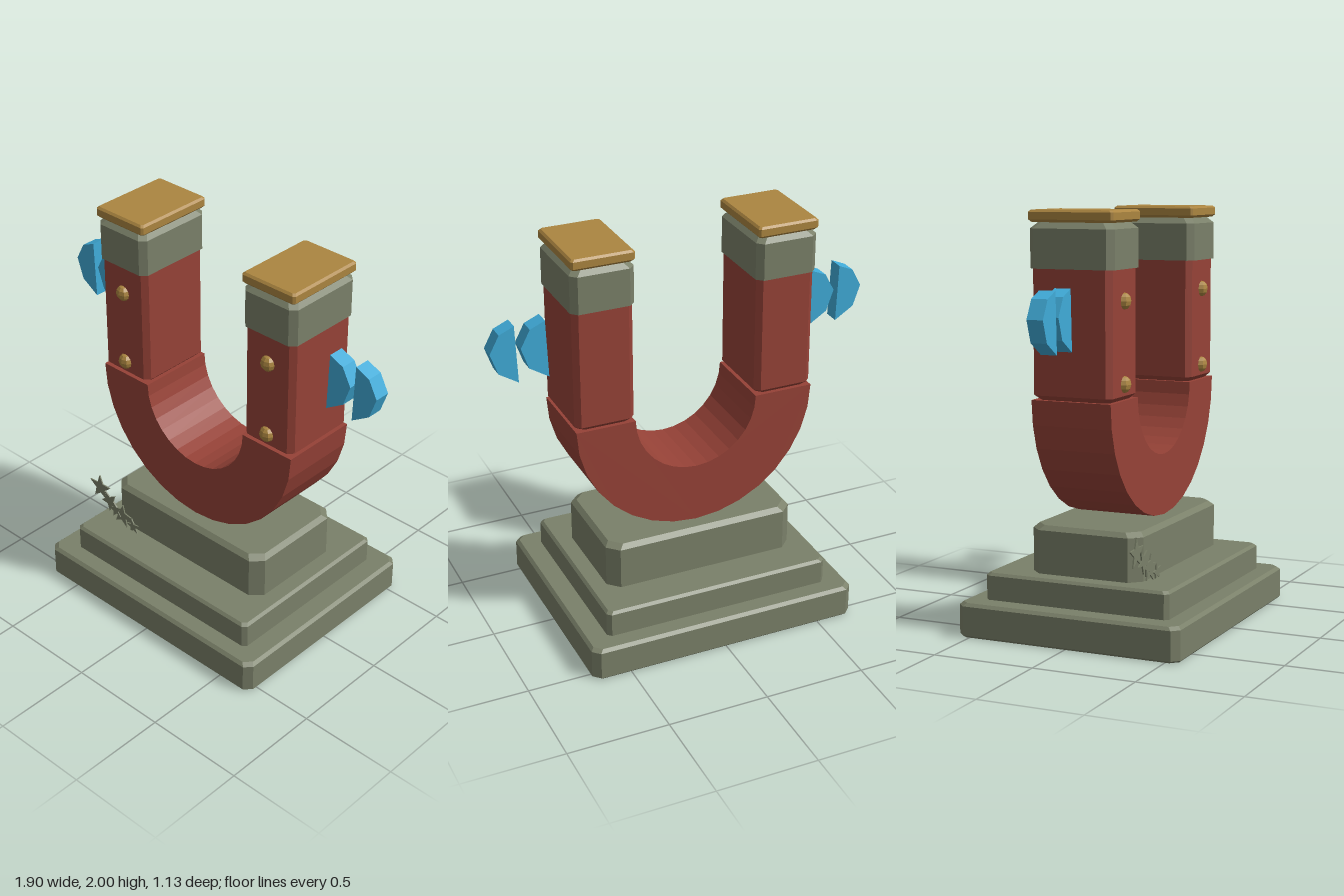
import * as THREE from 'three';
import { ConvexGeometry } from 'three/addons/geometries/ConvexGeometry.js';

const makeMat = (name, color, extra = {}) => {
  const m = new THREE.MeshStandardMaterial({ color, flatShading: true, ...extra });
  m.name = name;
  return m;
};

// Box with chamfered upright corners and bevelled top and bottom rims
function chamferBox(w, d, y0, y1, corner, bevelBottom, bevelTop) {
  const points = [];
  const ring = (y, inset) => {
    const x = w / 2 - inset, z = d / 2 - inset;
    for (const sx of [-1, 1]) for (const sz of [-1, 1]) {
      points.push(new THREE.Vector3(sx * x, y, sz * (z - corner)));
      points.push(new THREE.Vector3(sx * (x - corner), y, sz * z));
    }
  };
  ring(y0, bevelBottom);
  if (bevelBottom) ring(y0 + bevelBottom, 0);
  if (bevelTop) ring(y1 - bevelTop, 0);
  ring(y1, bevelTop);
  return new ConvexGeometry(points);
}

// Flat outline extruded evenly about z = 0
function plate(points, depth) {
  const shape = new THREE.Shape(points.map(([x, y]) => new THREE.Vector2(x, y)));
  const geo = new THREE.ExtrudeGeometry(shape, { depth, bevelEnabled: false });
  return geo.translate(0, 0, -depth / 2);
}

export function createModel() {
  const group = new THREE.Group();
  group.name = 'magnetMonument';
  const stone = makeMat('stone', 0x7a8069);
  const red = makeMat('redPaint', 0x964237);
  const gold = makeMat('gold', 0xab8540);
  const blue = makeMat('blueSpark', 0x40abd8);

  const add = (name, geo, mat, parent = group) => {
    const mesh = new THREE.Mesh(geo, mat);
    mesh.name = name;
    parent.add(mesh);
    return mesh;
  };

  // Stepped pedestal
  add('baseStep', chamferBox(1.38, 1.13, 0, 0.165, 0.035, 0.01, 0.015), stone);
  add('middleStep', chamferBox(1.16, 0.94, 0.16, 0.295, 0.02, 0, 0.013), stone);
  add('topStep', chamferBox(0.98, 0.57, 0.29, 0.525, 0.055, 0, 0.022), stone);

  // U-shaped bend
  const N = 16, outer = 0.608, inner = 0.312, bendY = 1.135;
  const outline = [];
  for (let i = 0; i <= N; i++) {
    const a = Math.PI + (i / N) * Math.PI;
    outline.push([outer * Math.cos(a), bendY + outer * Math.sin(a)]);
  }
  for (let i = N; i >= 0; i--) {
    const a = Math.PI + (i / N) * Math.PI;
    outline.push([inner * Math.cos(a), bendY + inner * Math.sin(a)]);
  }
  add('magnetBend', plate(outline, 0.4), red);

  // Spark plate outline, pointing outwards on +x
  const spark = [[0.672, 1.37], [0.767, 1.43], [0.804, 1.535], [0.757, 1.623], [0.683, 1.655]];

  for (const side of [-1, 1]) {
    const arm = new THREE.Group();
    arm.name = side > 0 ? 'leftArm' : 'rightArm';
    group.add(arm);

    // Arm, pole collar and cap
    const cx = side * 0.46;
    add('armBar', chamferBox(0.296, 0.4, 1.135, 1.74, 0.026, 0.022, 0), red, arm).position.x = cx;
    add('poleCollar', chamferBox(0.31, 0.425, 1.735, 1.946, 0.03, 0, 0.03), stone, arm).position.x = cx;
    add('poleCap', chamferBox(0.308, 0.425, 1.944, 2, 0.01, 0.012, 0.01), gold, arm).position.x = cx;

    // Front rivets
    for (const y of [1.21, 1.59]) {
      const rivet = add('rivet', new THREE.SphereGeometry(0.039, 8, 6), gold, arm);
      rivet.scale.z = 0.8;
      rivet.position.set(cx, y, 0.2);
    }

    // Two sparks beside the arm
    for (const shift of [0, 0.148]) {
      let pts = spark.map(([x, y]) => [side * (x + shift), y]);
      if (side < 0) pts = pts.reverse();
      add('spark', plate(pts, 0.08), blue, arm);
    }
  }

  // Jagged sprig of overlapping star leaves ahead of the pedestal
  const sprig = new THREE.Group();
  sprig.name = 'sprig';
  group.add(sprig);
  const leaves = [
    [-0.565, 0.455, 0.075, 0.35], [-0.495, 0.405, 0.06, 0.9], [-0.412, 0.355, 0.068, 0.2],
    [-0.455, 0.37, 0.045, 0.6], [-0.335, 0.322, 0.045, 0.5],
  ];
  leaves.forEach(([x, y, r, turn], i) => {
    const pts = [];
    for (let k = 0; k < 10; k++) {
      const a = turn + (k * Math.PI) / 5, rad = k % 2 ? r * 0.42 : r;
      pts.push([rad * Math.cos(a), rad * Math.sin(a)]);
    }
    add('sprigLeaf', plate(pts, 0.007), stone, sprig).position.set(x, y, 0.308 + (i % 2) * 0.004);
  });

  return group;
}
